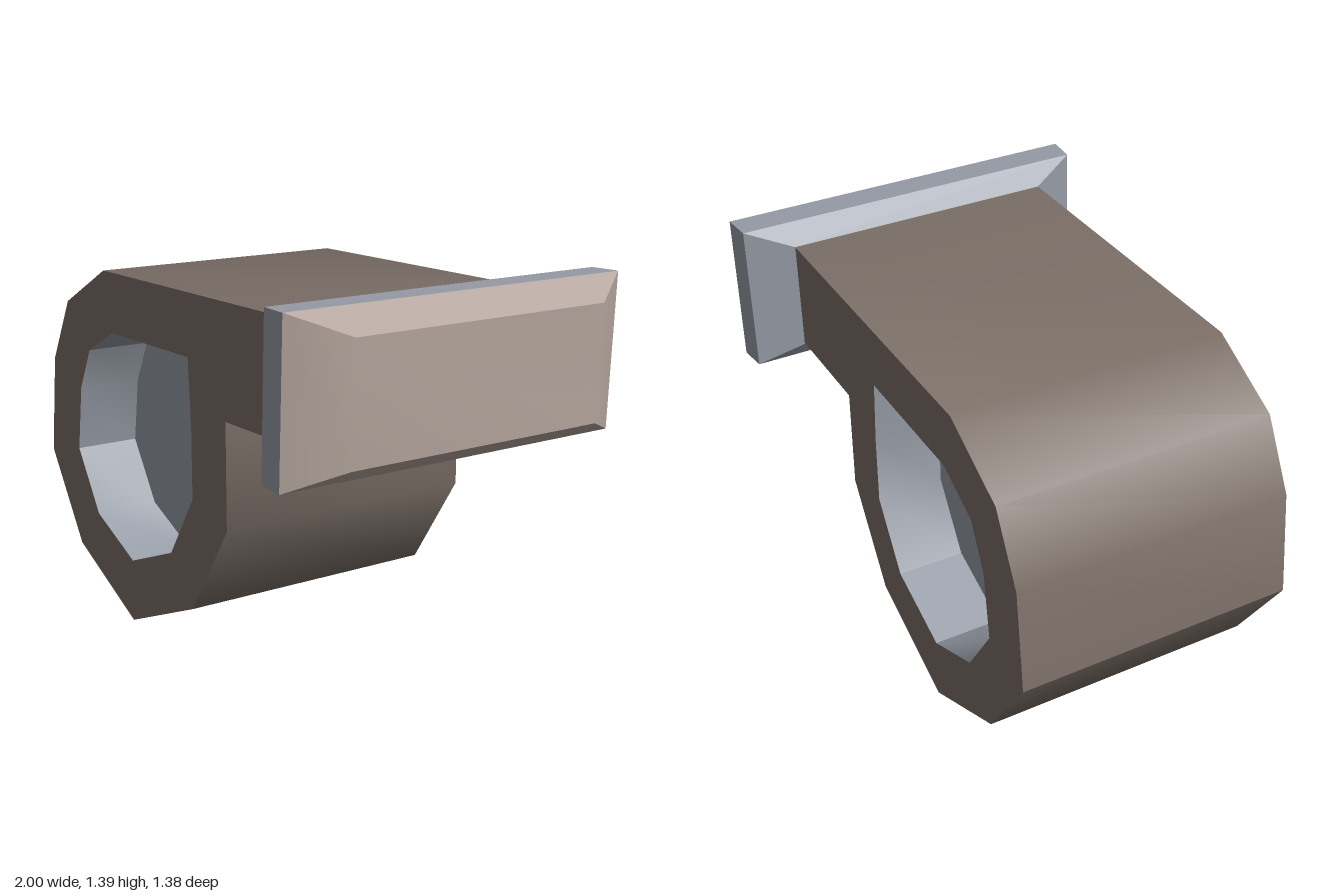
import * as THREE from 'three';
import { toCreasedNormals } from 'three/addons/utils/BufferGeometryUtils.js';

const material = (color) => new THREE.MeshStandardMaterial({ color, side: THREE.DoubleSide });
const casingMat = material(0x7a6e66);
const steelMat = material(0x949aa4);
const outletMat = material(0xb5a69e);

// Skin closed sections of equal point count, running counter-clockwise about the direction of travel.
function loft(sections, capEnd = false) {
  const pos = [];
  const tri = (...pts) => pts.forEach((p) => pos.push(...p));
  for (let s = 0; s + 1 < sections.length; s++) {
    const a = sections[s], b = sections[s + 1], n = a.length;
    for (let i = 0; i < n; i++) {
      const j = (i + 1) % n;
      tri(a[i], a[j], b[j]);
      tri(a[i], b[j], b[i]);
    }
  }
  if (capEnd) {
    const e = sections[sections.length - 1];
    for (let i = 1; i + 1 < e.length; i++) tri(e[0], e[i], e[i + 1]);
  }
  const geo = new THREE.BufferGeometry();
  geo.setAttribute('position', new THREE.Float32BufferAttribute(pos, 3));
  return toCreasedNormals(geo, 0.6);
}

const vectors = (pts) => pts.map(([x, y]) => new THREE.Vector2(x, y));
const atZ = (pts, z) => pts.map(([x, y]) => [x, y, z]);

// Rectangular section of the flange, leaning slightly: x and y at top and bottom, half width in z
const flangeSection = (xTop, yTop, xBot, yBot, w) => [
  [xBot, yBot, -w], [xTop, yTop, -w], [xTop, yTop, w], [xBot, yBot, w],
];

export function createModel() {
  const group = new THREE.Group();
  const add = (name, geo, mat) => {
    const mesh = new THREE.Mesh(geo, mat);
    mesh.name = name;
    group.add(mesh);
  };

  const halfDepth = 0.51;
  const floorZ = 0.26;

  // Scroll profile with straight outlet duct (counter-clockwise)
  const outline = [
    [0.71, 1.32], [-0.53, 1.32], [-0.825, 1.165], [-0.955, 0.92], [-1, 0.54], [-0.78, 0.2],
    [-0.375, 0], [0.06, 0.18], [0.29, 0.53], [0.29, 0.915], [0.7, 0.915],
  ];
  // Recess profile (clockwise, so that its walls face inwards)
  const recess = [
    [-0.475, 1.095], [0.055, 1.095], [0.07, 0.85], [0.07, 0.59], [-0.085, 0.35],
    [-0.37, 0.24], [-0.63, 0.36], [-0.775, 0.59], [-0.74, 0.84], [-0.66, 1],
  ];

  add('casingWall', loft([atZ(outline, -halfDepth), atZ(outline, halfDepth)]), casingMat);

  // Side plates with a sunken recess, on front and back
  const plate = new THREE.Shape(vectors(outline));
  plate.holes.push(new THREE.Path(vectors(recess)));
  for (const [side, s] of [['front', 1], ['back', -1]]) {
    const zs = [s * floorZ, s * halfDepth].sort((a, b) => a - b);
    add(side + 'Plate', new THREE.ShapeGeometry(plate).translate(0, 0, s * halfDepth), casingMat);
    add(side + 'RecessWall', loft(zs.map((z) => atZ(recess, z))), steelMat);
    add(side + 'RecessFloor',
      new THREE.ShapeGeometry(new THREE.Shape(vectors(recess))).translate(0, 0, s * floorZ), steelMat);
  }

  // Flared flange around the outlet and its bevelled end face
  const rim = flangeSection(0.885, 1.39, 0.865, 0.835, 0.69);
  add('flange', loft([
    flangeSection(0.71, 1.32, 0.7, 0.91, 0.51),
    flangeSection(0.775, 1.39, 0.755, 0.84, 0.68),
    rim,
  ]), steelMat);
  add('outletFace', loft([rim, flangeSection(1, 1.315, 0.985, 0.905, 0.51)], true), outletMat);

  return group;
}
